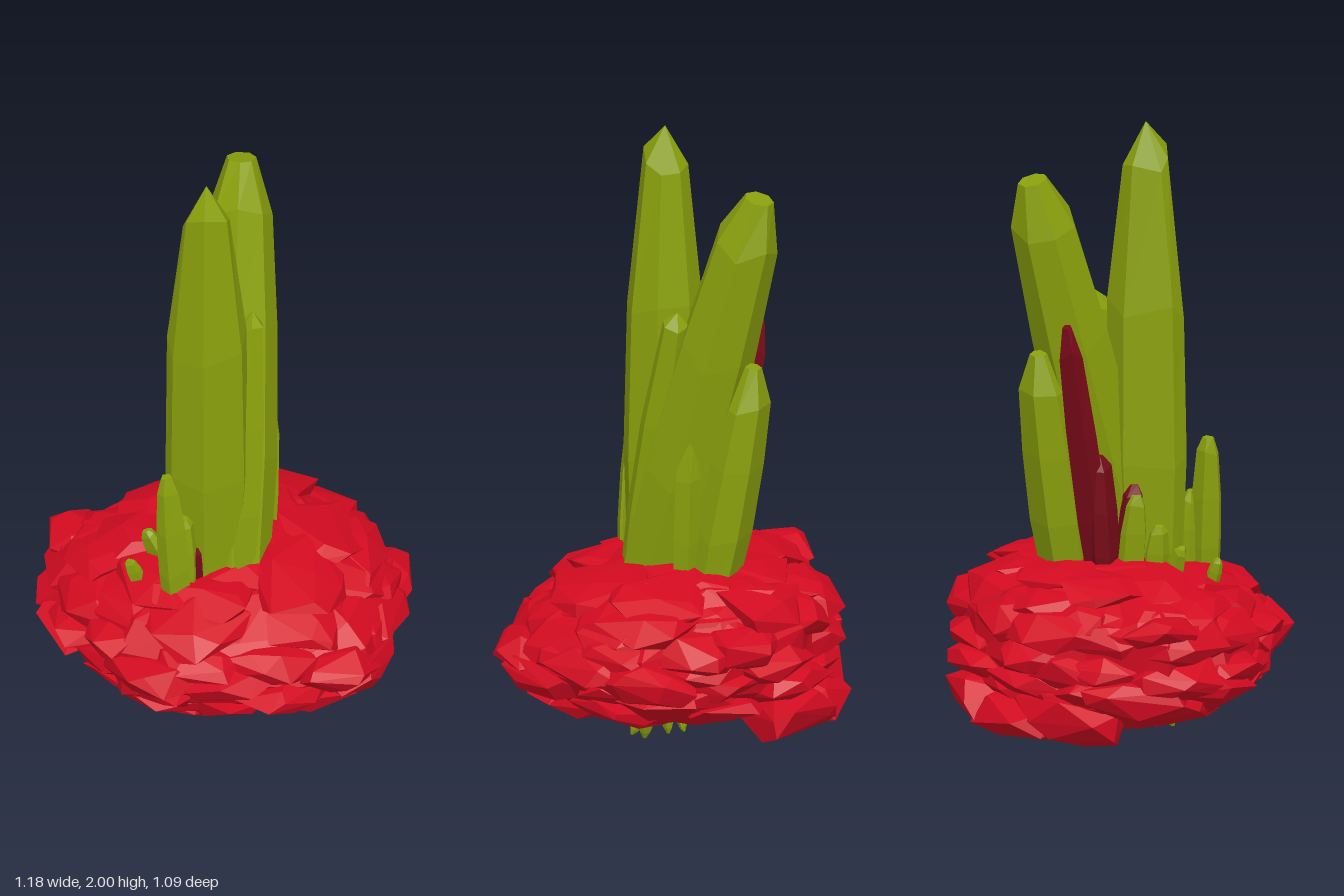
import * as THREE from 'three';
import { ConvexGeometry } from 'three/addons/geometries/ConvexGeometry.js';

const V = (x, y, z) => new THREE.Vector3(x, y, z);
const paint = (color) => new THREE.MeshStandardMaterial({ color, flatShading: true });
const red = paint(0xd20a20), darkRed = paint(0x780a18), green = paint(0x8aa00c);

// Small seeded generator; jit(s) gives a value in -s..s
let seed = 11;
const rnd = () => (seed = (seed * 16807) % 2147483647) / 2147483647;
const jit = (s) => (rnd() * 2 - 1) * s;

// Plan outline of the rock [x, z] and its height profile [scale, y]
const OUTLINE = [
  [-0.03, -0.48], [0.2, -0.47], [0.33, -0.4], [0.41, -0.24], [0.44, -0.15], [0.58, 0.02], [0.51, 0.13],
  [0.53, 0.22], [0.39, 0.46], [0.16, 0.51], [-0.05, 0.49], [-0.28, 0.45], [-0.44, 0.33], [-0.46, 0.22],
  [-0.585, -0.05], [-0.54, -0.16], [-0.54, -0.29], [-0.4, -0.37], [-0.27, -0.42], [-0.15, -0.47],
];
const PROFILE = [[0.02, 0.105], [0.45, 0.12], [0.75, 0.18], [0.93, 0.255], [0.98, 0.33], [0.95, 0.43], [0.84, 0.5], [0.55, 0.56], [0.02, 0.585]];

// The top of the rock falls towards the front, the lower half towards its right
const slope = (y, x, z) => (y > 0.42 ? -0.07 * z : 0.05 * x);

function outlineAt(u) {
  const n = OUTLINE.length, f = (((u % 1) + 1) % 1) * n, i = Math.floor(f) % n, t = f - Math.floor(f);
  const a = OUTLINE[i], b = OUTLINE[(i + 1) % n];
  return [a[0] + (b[0] - a[0]) * t, a[1] + (b[1] - a[1]) * t];
}

// Skin stacked closed rings (each ring runs from +x towards +z, bottom to top)
function skin(rings) {
  const n = rings[0].length, pos = [], idx = [];
  rings.forEach((r) => r.forEach((p) => pos.push(p.x, p.y, p.z)));
  for (let j = 0; j < rings.length - 1; j++) {
    for (let i = 0; i < n; i++) {
      const a = j * n + i, b = j * n + ((i + 1) % n);
      idx.push(b, a, a + n, b, a + n, b + n);
    }
  }
  const g = new THREE.BufferGeometry();
  g.setAttribute('position', new THREE.Float32BufferAttribute(pos, 3));
  g.setIndex(idx);
  g.computeVertexNormals();
  return g;
}

function add(parent, name, geo, mat) {
  const m = new THREE.Mesh(geo, mat);
  m.name = name;
  parent.add(m);
  return m;
}

// Angular stone: hull of jittered directions, stretched to half sizes
function stone(parent, name, p, size, turn, tilt) {
  const pts = [];
  for (let i = 0; i < 18; i++) {
    const y = 1 - (2 * (i + 0.5)) / 18, a = i * 2.4 + jit(0.6), r = Math.sqrt(1 - y * y), k = 1 + jit(0.14);
    pts.push(V(Math.cos(a) * r * size[0] * k, y * size[1] * k, Math.sin(a) * r * size[2] * k));
  }
  const m = add(parent, name, new ConvexGeometry(pts), red);
  m.position.copy(p);
  m.rotation.set(jit(0.14), turn, tilt + jit(0.15));
}

// Faceted crystal: swelling prism with a pointed or blunt end
function crystal(parent, name, base, tip, r, { sides = 6, foot = 0.85, shoulder = 0.9, neck = 0.62, end = 0.01, mat = green } = {}) {
  const len = base.distanceTo(tip), spin = rnd() * 3;
  const levels = [[0, foot], [0.28, 1], [0.6, 0.95], [shoulder, neck], [1, end]];
  const spread = Array.from({ length: sides }, () => jit(0.25));
  const rings = levels.map(([t, k], j) => spread.map((s, i) => {
    const a = spin + ((i + s) / sides) * Math.PI * 2;
    const lift = j > 0 && j < 4 ? jit(0.025) : 0;
    return V(Math.cos(a) * r * k, (t + lift) * len, Math.sin(a) * r * k);
  }));
  rings.unshift(spread.map(() => V(0, 0, 0)));
  rings.push(spread.map(() => V(0, len, 0)));
  const m = add(parent, name, skin(rings), mat);
  m.position.copy(base);
  m.quaternion.setFromUnitVectors(V(0, 1, 0), tip.clone().sub(base).normalize());
}

export function createModel() {
  seed = 11;
  const model = new THREE.Group();
  model.name = 'crystalCluster';

  // Rock core
  const rock = new THREE.Group();
  rock.name = 'rock';
  model.add(rock);
  const core = PROFILE.map(([s, y]) => OUTLINE.map(([x, z]) => {
    const k = s * (0.94 + jit(0.035));
    return V(x * k, y + slope(y, x * s, z * s) + jit(0.015), z * k);
  }));
  add(rock, 'rockCore', skin(core), red);

  // Overlapping slabs in tiers: [height, outline scale, count, half sizes, tilt]
  const tiers = [
    [0.15, 0.42, 8, [0.17, 0.045, 0.19], 0.12],
    [0.21, 0.7, 11, [0.14, 0.05, 0.17], 0.4],
    [0.285, 0.83, 12, [0.11, 0.06, 0.16], 0.25],
    [0.35, 0.84, 12, [0.11, 0.06, 0.16], 0],
    [0.425, 0.81, 12, [0.11, 0.06, 0.16], -0.2],
    [0.495, 0.69, 11, [0.14, 0.05, 0.17], -0.32],
    [0.545, 0.46, 8, [0.17, 0.045, 0.18], -0.16],
    [0.56, 0.22, 5, [0.17, 0.035, 0.17], -0.05],
  ];
  tiers.forEach(([y, s, count, size, tilt], t) => {
    for (let i = 0; i < count; i++) {
      const [x, z] = outlineAt((i + t * 0.37 + jit(0.25)) / count);
      const k = s + jit(0.03), w = 1 + jit(0.2);
      const p = V(x * k, y + slope(y, x * k, z * k) + jit(0.015), z * k);
      stone(rock, 'slab', p, [size[0], size[1] * w, size[2] * w], -Math.atan2(z, x) + jit(0.25), tilt);
    }
  });
  // Low bulge at the back and a raised shoulder at the back right
  stone(rock, 'backStone', V(-0.15, 0.175, -0.36), [0.2, 0.09, 0.16], 0.1, 0.1);
  stone(rock, 'backStone', V(0.0, 0.165, -0.38), [0.19, 0.09, 0.17], 0, 0);
  stone(rock, 'backStone', V(0.15, 0.175, -0.36), [0.18, 0.09, 0.16], -0.15, 0);
  stone(rock, 'shoulderStone', V(-0.42, 0.47, -0.22), [0.13, 0.06, 0.13], 0, 0);

  // Tall green crystals
  crystal(model, 'mainCrystal', V(-0.08, 0.5, 0.075), V(-0.083, 2, 0.06), 0.132, { sides: 7, shoulder: 0.92, neck: 0.56 });
  crystal(model, 'leaningCrystal', V(0.0, 0.5, 0.085), V(0.087, 1.845, -0.272), 0.13, { sides: 7, shoulder: 0.88, neck: 0.78, end: 0.36 });
  crystal(model, 'backCrystal', V(0.08, 0.5, -0.11), V(0.08, 1.28, -0.25), 0.098, { shoulder: 0.84, neck: 0.8, end: 0.3 });
  crystal(model, 'frontCrystal', V(0.0, 0.5, 0.13), V(0.075, 1.44, -0.01), 0.07, { neck: 0.6, shoulder: 0.94 });
  crystal(model, 'sideCrystal', V(0.12, 0.5, -0.04), V(0.14, 1.2, -0.06), 0.045, { sides: 5, neck: 0.5, shoulder: 0.8 });

  // Short green crystals around the foot: [base, tip, radius]
  [
    [V(-0.2, 0.48, 0.2), V(-0.232, 0.98, 0.185), 0.05],
    [V(-0.17, 0.5, 0.17), V(-0.175, 0.8, 0.17), 0.045],
    [V(-0.2, 0.52, 0.05), V(-0.27, 0.66, 0.03), 0.035],
    [V(-0.3, 0.52, 0.12), V(-0.34, 0.62, 0.12), 0.025],
    [V(-0.1, 0.5, -0.03), V(-0.14, 0.82, -0.04), 0.045],
    [V(-0.16, 0.5, 0.02), V(-0.19, 0.72, 0.01), 0.04],
  ].forEach(([b, t, r]) => crystal(model, 'smallCrystal', b, t, r, { sides: 5, neck: 0.7, end: 0.35 }));

  // Dark red crystals behind: [base, tip, radius]
  [
    [V(-0.025, 0.5, -0.075), V(-0.04, 1.39, -0.25), 0.055],
    [V(-0.05, 0.5, -0.09), V(-0.06, 0.95, -0.13), 0.055],
    [V(-0.09, 0.5, -0.03), V(-0.12, 0.85, -0.03), 0.045],
    [V(-0.13, 0.5, 0.16), V(-0.135, 0.68, 0.17), 0.03],
  ].forEach(([b, t, r]) => crystal(model, 'redCrystal', b, t, r, { sides: 5, neck: 0.75, end: 0.3, mat: darkRed }));

  // Green spikes under the rock: [base, tip, radius]
  [
    [V(0.06, 0.2, 0.08), V(0.045, 0.0, 0.1), 0.035],
    [V(0.07, 0.2, 0.07), V(0.1, 0.03, 0.13), 0.03],
    [V(0.06, 0.2, 0.03), V(0.07, 0.03, 0.02), 0.03],
    [V(0.09, 0.2, 0.0), V(0.12, 0.06, -0.04), 0.026],
    [V(-0.18, 0.24, 0.04), V(-0.22, 0.07, 0.04), 0.035],
    [V(-0.22, 0.24, 0.07), V(-0.27, 0.11, 0.08), 0.03],
  ].forEach(([b, t, r]) => crystal(model, 'lowerSpike', b, t, r, { sides: 5, neck: 0.5, end: 0.15 }));

  return model;
}
